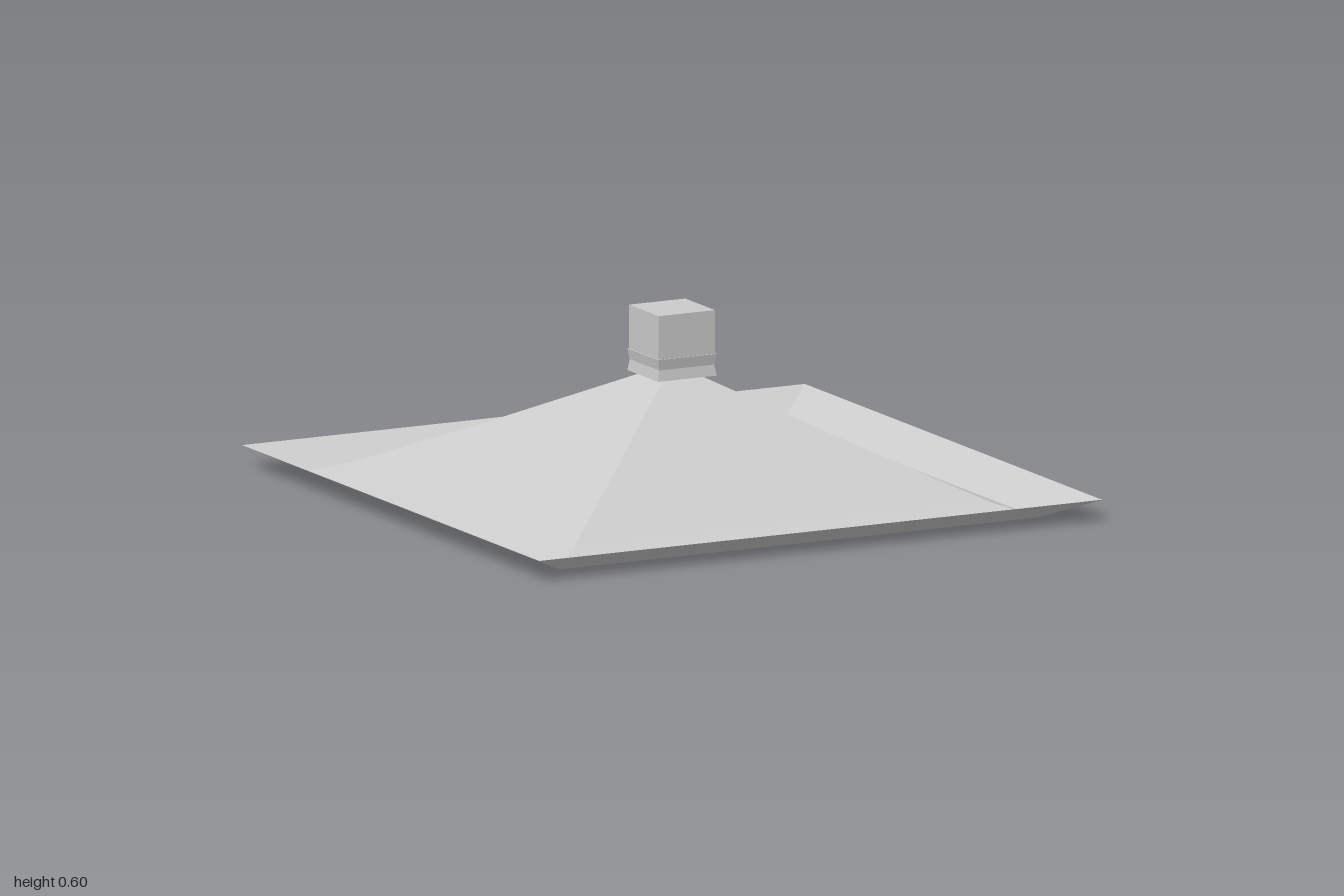
import * as THREE from 'three';

const material = new THREE.MeshStandardMaterial({
  color: 0xcccccc, flatShading: true, side: THREE.DoubleSide,
});

// Square loft: each profile point is [half width, height], listed from bottom to top
function squareLoft(name, profile) {
  const points = profile.map(([half, y]) => new THREE.Vector2(half * Math.SQRT2, y));
  const geometry = new THREE.LatheGeometry(points, 4, Math.PI / 4).toNonIndexed();
  geometry.computeVertexNormals();
  const mesh = new THREE.Mesh(geometry, material);
  mesh.name = name;
  return mesh;
}

export function createModel() {
  const group = new THREE.Group();
  group.name = 'pavilionRoof';

  // Upturned eave around the lower edge
  group.add(squareLoft('eave', [[0.85, 0], [1, 0.07]]));

  // Thin, slightly concave roof shell, open underneath
  group.add(squareLoft('roofShell', [
    [0.85, 0], [0.74, 0.04], [0.43, 0.195], [0.06, 0.39],
  ]));

  // Waisted collar, closed below
  group.add(squareLoft('collar', [
    [0, 0.39], [0.104, 0.39], [0.098, 0.425], [0.104, 0.46], [0.1, 0.46],
  ]));

  // Square cap block
  const cap = new THREE.Mesh(new THREE.BoxGeometry(0.2, 0.15, 0.2), material);
  cap.name = 'capBlock';
  cap.position.y = 0.525;
  group.add(cap);

  return group;
}
